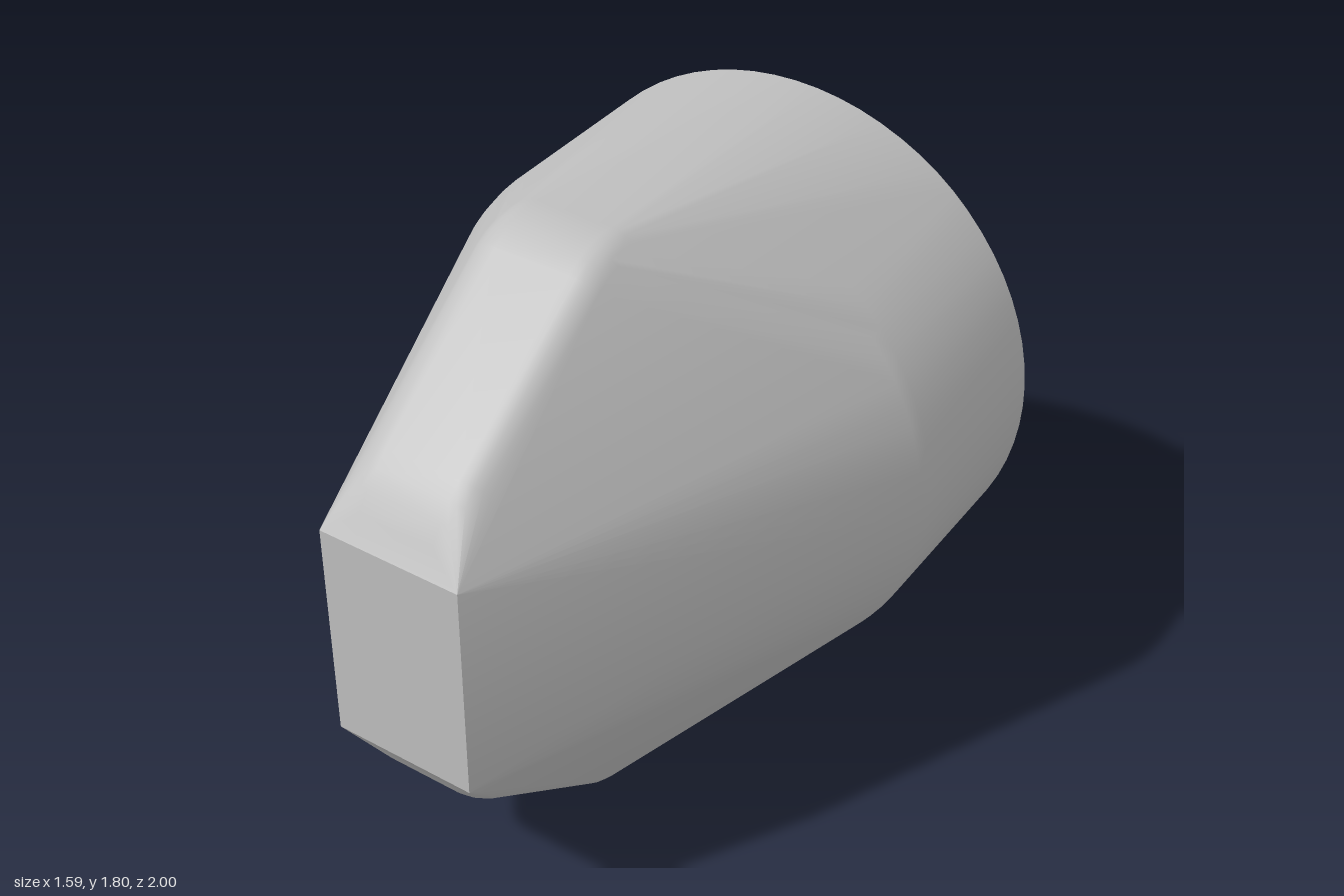
import * as THREE from 'three';
import { ConvexGeometry } from 'three/addons/geometries/ConvexGeometry.js';
import { toCreasedNormals } from 'three/addons/utils/BufferGeometryUtils.js';

const MID = 0.9; // height of the axis; the body mirrors above and below it

// Circular sections of the body: [z, radius]
const RINGS = [[-0.91, 0.745], [-0.845, 0.795], [-0.28, 0.795], [-0.24, 0.788]];

// Rounded ridge along the nose: [z, height above axis, tilt of the outward normal in degrees]
const RIDGE = [
  [0.22, 0.9, -4], [0.27, 0.9, 4], [0.31, 0.894, 14], [0.355, 0.88, 23], [0.4, 0.857, 33],
  [0.85, 0.528, 38], [0.89, 0.492, 46], [0.925, 0.452, 53], [0.96, 0.4, 60],
];

function ringPoints(points, z, radius, segments = 72) {
  for (let i = 0; i < segments; i++) {
    const a = (i / segments) * Math.PI * 2;
    points.push(new THREE.Vector3(radius * Math.sin(a), MID + radius * Math.cos(a), z));
  }
}

// Rounds the ridge off towards the sides, mirrored left/right and top/bottom
function ridgePoints(points, z, h, tilt) {
  const t = THREE.MathUtils.degToRad(tilt), r = 0.11;
  for (let deg = 0; deg <= 75; deg += 12.5) {
    const a = THREE.MathUtils.degToRad(deg);
    const x = 0.11 + r * Math.sin(a) * 0.9;
    const inset = r * (1 - Math.cos(a));
    for (const sx of [-1, 1]) for (const sy of [-1, 1]) {
      points.push(new THREE.Vector3(sx * x, MID + sy * (h - inset * Math.cos(t)), z - inset * Math.sin(t)));
    }
  }
}

export function createModel() {
  const grey = new THREE.MeshStandardMaterial({ color: 0xc0c0c0 });
  grey.name = 'grey';

  const points = [new THREE.Vector3(0, 0.22, -1)]; // low tip of the rear cap
  for (const [z, r] of RINGS) ringPoints(points, z, r);
  for (const [z, h, tilt] of RIDGE) ridgePoints(points, z, h, tilt);
  // Flat front plate
  for (const sx of [-1, 1]) for (const sy of [-1, 1]) {
    points.push(new THREE.Vector3(sx * 0.21, MID + sy * 0.33, 1));
  }

  const body = new THREE.Mesh(toCreasedNormals(new ConvexGeometry(points), 0.46), grey);
  body.name = 'body';

  const group = new THREE.Group();
  group.name = 'taperedPod';
  group.add(body);
  return group;
}
